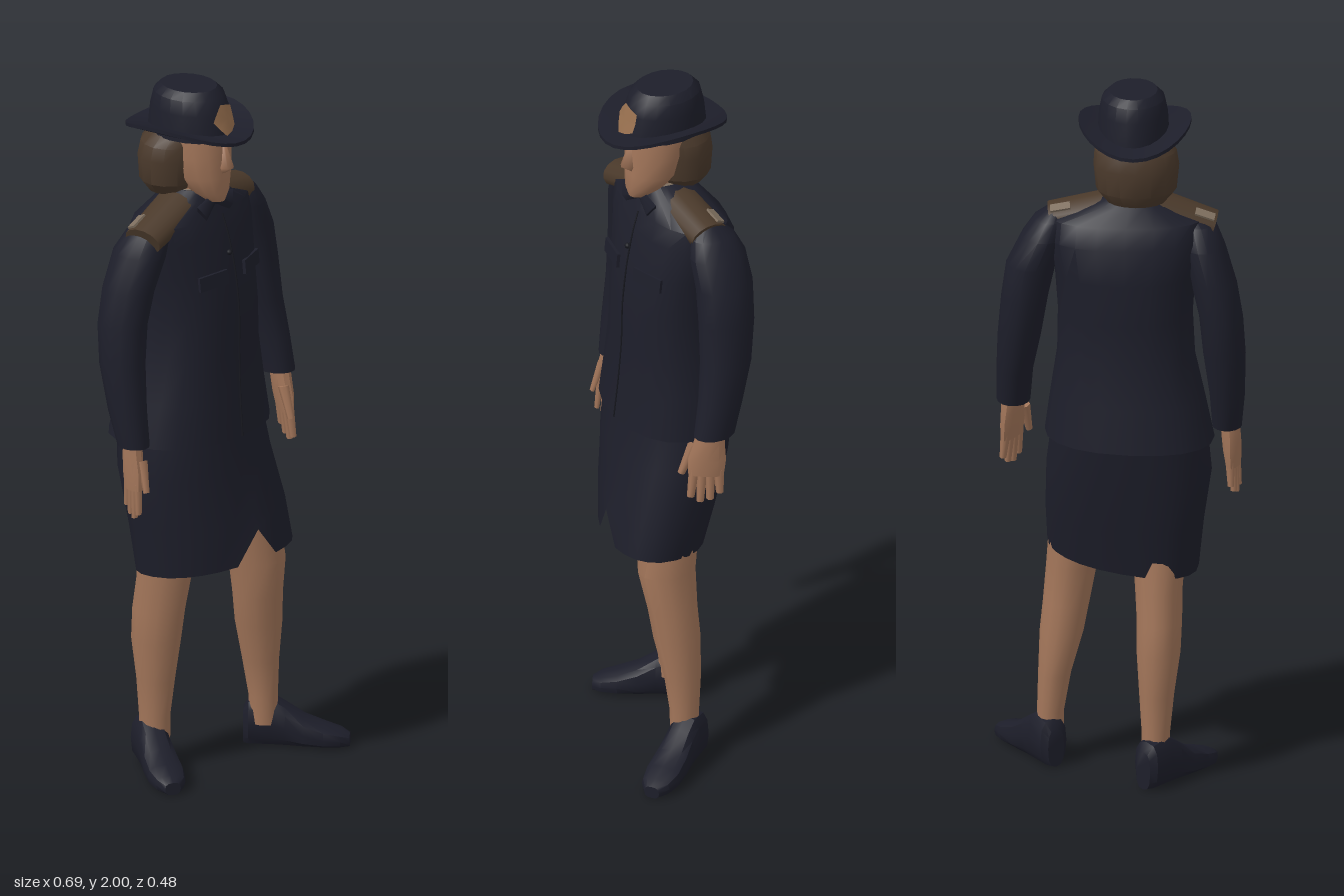
import * as THREE from 'three';
import { mergeVertices, toCreasedNormals } from 'three/addons/utils/BufferGeometryUtils.js';

const mat = (name, color, side = THREE.FrontSide) => {
  const m = new THREE.MeshStandardMaterial({ color, side });
  m.name = name;
  return m;
};

// Skin a stack of rings, listed upward: [x, y, z, rx, rz, skew, tilt]
function loft(rings, { sides = 14, power = 2, caps = true, crease = 0.6, rule } = {}) {
  const pos = [], idx = [];
  const bend = (v) => Math.sign(v) * Math.pow(Math.abs(v), 2 / power);
  rings.forEach(([x, y, z, rx, rz, skew = 0, tilt = 0], i) => {
    for (let j = 0; j < sides; j++) {
      const a = (j / sides) * Math.PI * 2;
      const dx = rx * bend(Math.cos(a)), dz = rz * bend(Math.sin(a)) + skew * dx;
      const p = new THREE.Vector3(x + dx, y + tilt * dz, z + dz);
      if (rule) rule(p, i, a);
      pos.push(p.x, p.y, p.z);
    }
  });
  for (let i = 0; i < rings.length - 1; i++) {
    for (let j = 0; j < sides; j++) {
      const k = (j + 1) % sides;
      const a = i * sides + j, b = i * sides + k;
      idx.push(a, a + sides, b, b, a + sides, b + sides);
    }
  }
  if (caps) {
    const last = (rings.length - 1) * sides;
    for (let j = 1; j < sides - 1; j++) {
      idx.push(0, j, j + 1, last, last + j + 1, last + j);
    }
  }
  const g = new THREE.BufferGeometry();
  g.setAttribute('position', new THREE.Float32BufferAttribute(pos, 3));
  g.setIndex(idx);
  return toCreasedNormals(mergeVertices(g), crease);
}

export function createModel() {
  const model = new THREE.Group();
  const navy = mat('navy cloth', 0x1d1e2a, THREE.DoubleSide);
  const dark = mat('dark seam', 0x17181f);
  const skin = mat('skin', 0xa3765a);
  const hair = mat('brown hair', 0x4a392b);
  const brown = mat('shoulder brown', 0x4a392a);
  const tan = mat('badge tan', 0x98704f, THREE.DoubleSide);
  const grey = mat('insignia grey', 0x7d6e5e);
  const add = (name, geo, material, parent = model) => {
    const m = new THREE.Mesh(geo, material);
    m.name = name;
    parent.add(m);
    return m;
  };

  // Jacket
  const jacket = [
    [-0.03, 1.0, -0.052, 0.232, 0.178, 0.1], [-0.025, 1.12, -0.05, 0.211, 0.165, 0.08],
    [-0.02, 1.24, -0.045, 0.188, 0.153, 0.06], [-0.018, 1.36, -0.045, 0.184, 0.151, 0.05],
    [-0.018, 1.48, -0.055, 0.192, 0.147, 0.03], [-0.02, 1.58, -0.06, 0.215, 0.13],
    [-0.022, 1.635, -0.055, 0.212, 0.107], [-0.03, 1.68, -0.045, 0.11, 0.08],
    [-0.04, 1.71, -0.035, 0.06, 0.06],
  ];
  add('jacket', loft(jacket, { sides: 20, power: 2.3 }), navy);
  const seam = new THREE.CatmullRomCurve3(
    jacket.slice(0, 7).map(([x, y, z, , rz]) => new THREE.Vector3(x, y, z + rz + 0.001)));
  add('jacketSeam', new THREE.TubeGeometry(seam, 24, 0.0025, 5), dark);
  [-0.105, 0.07].forEach((x) => {
    const flap = add('pocketFlap', new THREE.BoxGeometry(0.1, 0.04, 0.009), navy);
    flap.position.set(x, 1.47, 0.083);
    flap.rotation.set(-0.1, Math.sign(x) * 0.25, 0);
  });
  add('button', new THREE.SphereGeometry(0.008, 8, 6), dark).position.set(-0.03, 1.53, 0.083);

  // Skirt with a front slit
  add('skirt', loft([
    [-0.01, 0.625, 0.018, 0.208, 0.147, 0.27, 0.09], [-0.015, 0.75, -0.003, 0.217, 0.157, 0.2, 0.06],
    [-0.028, 0.9, -0.035, 0.226, 0.16, 0.12], [-0.03, 1.03, -0.052, 0.212, 0.162, 0.08],
  ], {
    sides: 24, power: 2.3, caps: false,
    rule: (p, i, a) => {
      if (i > 0) return;
      p.y += 0.05 * p.x;
      if (Math.abs(a - Math.PI / 2) < 0.05) p.y += 0.09;
    },
  }), navy);

  // Legs
  add('rightLeg', loft([
    [-0.103, 0.07, -0.115, 0.038, 0.045], [-0.103, 0.15, -0.115, 0.039, 0.045],
    [-0.105, 0.26, -0.11, 0.048, 0.056], [-0.11, 0.38, -0.105, 0.06, 0.073],
    [-0.112, 0.47, -0.095, 0.062, 0.078], [-0.11, 0.56, -0.08, 0.065, 0.08],
    [-0.11, 0.8, -0.05, 0.085, 0.09],
  ]), skin);
  add('leftLeg', loft([
    [0.19, 0.07, 0.04, 0.037, 0.042], [0.188, 0.15, 0.04, 0.037, 0.042],
    [0.177, 0.26, 0.039, 0.045, 0.054], [0.158, 0.38, 0.046, 0.06, 0.068],
    [0.145, 0.47, 0.052, 0.064, 0.072], [0.13, 0.58, 0.06, 0.07, 0.084],
    [0.1, 0.8, 0.03, 0.085, 0.09],
  ]), skin);

  // Shoes: sections [length, half width, height] from heel to toe
  const sections = [
    [-0.045, 0.025, 0.11], [-0.03, 0.041, 0.135], [0.03, 0.045, 0.145], [0.07, 0.045, 0.12],
    [0.12, 0.05, 0.085], [0.175, 0.052, 0.062], [0.22, 0.042, 0.048], [0.245, 0.022, 0.035],
  ];
  [['rightShoe', -0.098, -0.14, -0.67], ['leftShoe', 0.195, 0.025, 0.55]].forEach(([name, x, z, turn]) => {
    const g = loft(sections.map(([l, w, h]) => [0, l, -h / 2, w, h / 2]), { power: 2.7, sides: 12 });
    g.rotateX(Math.PI / 2);
    const shoe = add(name, g, navy);
    shoe.position.set(x, 0, z);
    shoe.rotation.y = turn;
  });

  // Sleeves
  add('rightSleeve', loft([
    [-0.295, 1.02, -0.048, 0.04, 0.046], [-0.296, 1.12, -0.068, 0.048, 0.056],
    [-0.289, 1.25, -0.09, 0.058, 0.066], [-0.28, 1.36, -0.096, 0.06, 0.073],
    [-0.26, 1.46, -0.09, 0.063, 0.077], [-0.232, 1.56, -0.073, 0.06, 0.08],
    [-0.215, 1.62, -0.055, 0.05, 0.065], [-0.2, 1.65, -0.05, 0.02, 0.03],
  ]), navy);
  add('leftSleeve', loft([
    [0.288, 1.07, 0.008, 0.046, 0.06], [0.284, 1.17, -0.015, 0.05, 0.067],
    [0.271, 1.28, -0.04, 0.059, 0.076], [0.256, 1.4, -0.052, 0.064, 0.083],
    [0.238, 1.5, -0.057, 0.068, 0.084], [0.205, 1.58, -0.057, 0.062, 0.082],
    [0.185, 1.63, -0.053, 0.047, 0.064], [0.17, 1.66, -0.05, 0.02, 0.03],
  ]), navy);

  // Hands: palm, four fingers fanned along z, and a thumb at the front
  [['rightHand', -0.303, 1.04, -0.045, -0.35, 0.8], ['leftHand', 0.289, 1.09, 0.022, -0.55, 1.15]].forEach(
    ([name, x, y, z, turn, spread]) => {
      const hand = new THREE.Group();
      hand.name = name;
      hand.position.set(x, y, z);
      hand.rotation.set(-0.05, turn, Math.sign(x) * 0.06);
      hand.scale.z = spread;
      model.add(hand);
      add('palm', loft([
        [0, -0.14, 0.005, 0.017, 0.044], [0, -0.09, 0.004, 0.023, 0.047],
        [0, -0.04, 0, 0.026, 0.038], [0, 0.02, 0, 0.025, 0.034],
      ], { sides: 10 }), skin, hand);
      [0.085, 0.098, 0.09, 0.07].forEach((len, i) => {
        const f = add('finger', new THREE.CylinderGeometry(0.013, 0.009, len, 6), skin, hand);
        f.position.set(0, -0.123 - len / 2, 0.036 - i * 0.021);
        f.rotation.x = -0.07 + i * 0.05;
      });
      const thumb = add('thumb', new THREE.CylinderGeometry(0.015, 0.009, 0.09, 6), skin, hand);
      thumb.position.set(-Math.sign(x) * 0.012, -0.1, 0.05);
      thumb.rotation.x = -0.3;
    });

  // Shoulder boards, tapering outward, with insignia
  [['rightShoulderBoard', -0.178, 1.634, -1, 0.33, 0.17], ['leftShoulderBoard', 0.103, 1.643, 1, -0.19, 0.17]].forEach(
    ([name, x, y, side, slope, len]) => {
      const board = new THREE.Group();
      board.name = name;
      board.position.set(x, y, -0.044);
      board.rotation.z = slope;
      model.add(board);
      const g = new THREE.CylinderGeometry(0.86, 1, len, 14).rotateZ(-side * Math.PI / 2).scale(1, 0.046, 0.066);
      add('board', g, brown, board);
      const tab = add('insignia', new THREE.BoxGeometry(0.055, 0.006, 0.025), grey, board);
      tab.position.set(side * 0.05, 0.034, -0.036);
      tab.rotation.x = -0.45;
    });

  // Neck, collar and neck bow
  add('neck', new THREE.CylinderGeometry(0.048, 0.052, 0.16, 12), skin).position.set(-0.043, 1.7, -0.03);
  const collar = add('collar', new THREE.TorusGeometry(0.053, 0.008, 6, 16).rotateX(Math.PI / 2), grey);
  collar.position.set(-0.04, 1.705, -0.032);
  [-1, 1].forEach((s) => {
    const bow = add('neckBow', new THREE.CylinderGeometry(0.018, 0.04, 0.065, 4), navy);
    bow.scale.z = 0.4;
    bow.position.set(-0.037 + s * 0.034, 1.665, 0.04);
    bow.rotation.z = s * 1.0;
  });

  // Head
  add('head', loft([
    [-0.038, 1.68, 0.04, 0.025, 0.03], [-0.038, 1.705, 0.022, 0.052, 0.055],
    [-0.036, 1.75, -0.002, 0.076, 0.077], [-0.034, 1.81, -0.017, 0.086, 0.092],
    [-0.034, 1.88, -0.025, 0.086, 0.095],
  ], { crease: 0.9 }), skin);
  add('nose', loft([
    [-0.036, 1.765, 0.066, 0.016, 0.01], [-0.036, 1.782, 0.072, 0.02, 0.028],
    [-0.036, 1.85, 0.062, 0.01, 0.01],
  ], { sides: 8, crease: 1.6 }), skin);
  add('hair', loft([
    [-0.049, 1.695, -0.09, 0.08, 0.064], [-0.049, 1.73, -0.086, 0.11, 0.09],
    [-0.049, 1.8, -0.084, 0.117, 0.096], [-0.047, 1.84, -0.08, 0.112, 0.093],
    [-0.043, 1.875, -0.07, 0.085, 0.085],
  ], { sides: 16 }), hair);

  // Hat: crown, curled brim and bent badge plate
  add('hatCrown', loft([
    [-0.04, 1.865, -0.04, 0.098, 0.126], [-0.04, 1.94, -0.042, 0.094, 0.115],
    [-0.04, 1.98, -0.045, 0.086, 0.102], [-0.04, 2.0, -0.045, 0.066, 0.082],
  ], { sides: 18 }), navy);
  const profile = [[0.5, 0], [0.8, 0], [1, 0], [1, 0.01], [0.8, 0.014], [0.5, 0.018], [0.5, 0]]
    .map(([r, y]) => new THREE.Vector2(r, y));
  const brim = new THREE.LatheGeometry(profile, 28).scale(0.154, 1, 0.185);
  const bp = brim.attributes.position;
  for (let i = 0; i < bp.count; i++) {
    bp.setY(i, bp.getY(i) + 1.9 * bp.getX(i) ** 2 + 0.03 * bp.getZ(i));
  }
  add('hatBrim', toCreasedNormals(brim, 0.6), navy).position.set(-0.044, 1.862, -0.04);
  const badge = new THREE.CircleGeometry(0.045, 10);
  const gp = badge.attributes.position;
  for (let i = 0; i < gp.count; i++) {
    const k = i > 0 && i % 2 ? 0.85 : 1;
    const x = gp.getX(i) * k, y = gp.getY(i) * k;
    gp.setXYZ(i, x, y, -6.5 * x * x - 0.27 * y);
  }
  badge.computeVertexNormals();
  add('hatBadge', badge, tan).position.set(-0.042, 1.925, 0.084);

  return model;
}
